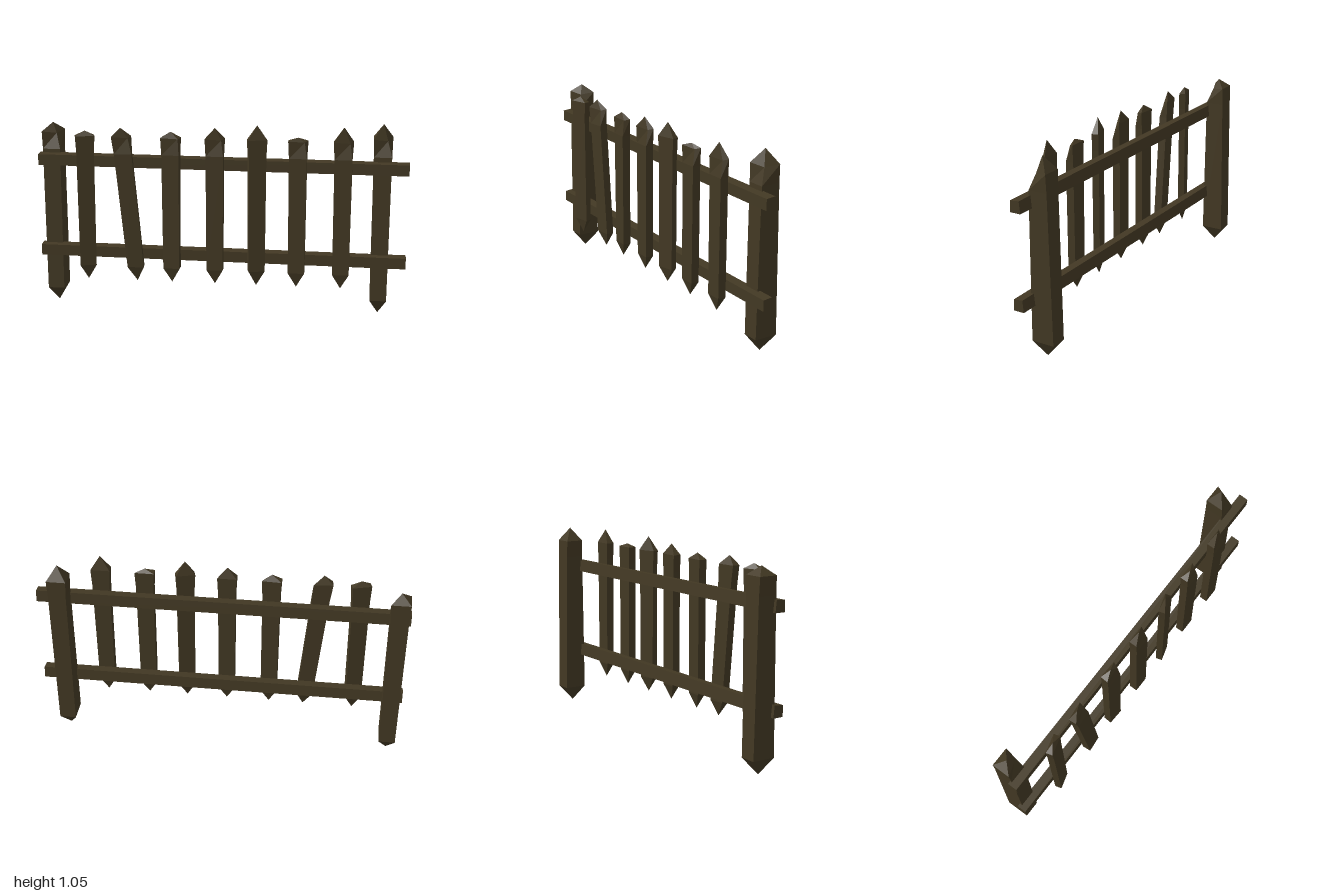
import * as THREE from 'three';

// Corners run front-left, front-right, back-right, back-left
const CORNERS = [[-1, 1], [1, 1], [1, -1], [-1, -1]];

// Flat-shaded loft through four-cornered rings; the first and last ring may be tips (one repeated point)
function loft(rings) {
  const pos = [];
  const tri = (a, b, c) => pos.push(...a, ...b, ...c);
  for (let r = 0; r < rings.length - 1; r++) {
    for (let i = 0; i < 4; i++) {
      const j = (i + 1) % 4, lo = rings[r], hi = rings[r + 1];
      if (r > 0) tri(lo[i], lo[j], hi[j]);
      if (r < rings.length - 2) tri(lo[i], hi[j], hi[i]);
      else tri(lo[i], lo[j], hi[i]);
    }
  }
  const g = new THREE.BufferGeometry();
  g.setAttribute('position', new THREE.Float32BufferAttribute(pos, 3));
  g.computeVertexNormals();
  return g;
}

// Pointed stake: [y, halfWidth, halfDepth, zOffset] for each ring, with an optional chipped front-right shoulder
function stake(bottom, top, levels, chip) {
  const rings = levels.map(([y, w, d, z = 0], k) => CORNERS.map(([sx, sz], i) => {
    const c = k === levels.length - 1 && i === 1 ? chip : 0;
    return [sx * w - c, y - c * 0.4, sz * d + z - c];
  }));
  const tip = y => CORNERS.map(() => [0, y, 0]);
  return loft([tip(bottom), ...rings, tip(top)]);
}

export function createModel() {
  const model = new THREE.Group();
  const wood = new THREE.MeshStandardMaterial({ color: 0x42382a });
  wood.name = 'darkWood';
  wood.color.set(0x423823);
  const add = (geometry, name) => {
    const mesh = new THREE.Mesh(geometry, wood);
    mesh.name = name;
    model.add(mesh);
    return mesh;
  };

  // End posts
  for (const [x, top, name] of [[-0.935, 1.02, 'rightPost'], [0.86, 1.05, 'leftPost']]) {
    const levels = [[0.085, 0.045, 0.063, -0.003], [0.88, 0.048, 0.052], [0.975, 0.052, 0.05]];
    add(stake(0, top, levels, 0.028), name).position.set(x, 0, -0.044);
  }

  // Pickets: bottom x, top x, top y, yaw, shoulder chip
  const pickets = [
    [-0.73, -0.73, 1.0, 0.28, 0],
    [-0.455, -0.535, 1.02, 0.1, 0.018],
    [-0.262, -0.262, 1.005, -0.05, 0.012],
    [-0.025, -0.025, 1.03, 0, 0.018],
    [0.2, 0.2, 1.05, 0.28, 0],
    [0.417, 0.417, 0.99, 0, 0.018],
    [0.655, 0.655, 1.05, 0, 0.018],
  ];
  pickets.forEach(([xb, xt, top, yaw, chip], i) => {
    const depth = yaw > 0.2 ? 0.018 : 0.022;
    const levels = [[0.25, 0.044, depth], [0.88, 0.047, depth], [0.972, 0.052, depth]];
    const g = stake(0.17, top, levels, chip);
    g.rotateY(yaw);
    // Lean by shearing sideways with height
    const p = g.attributes.position;
    for (let k = 0; k < p.count; k++) {
      p.setX(k, p.getX(k) + xb + (xt - xb) * (p.getY(k) - 0.17) / (top - 0.17));
    }
    g.computeVertexNormals();
    add(g, 'picket' + (i + 1)).position.z = 0.077;
  });

  // Rails, slightly tapered and sagging towards the left end
  for (const [y, name] of [[0.83, 'upperRail'], [0.32, 'lowerRail']]) {
    const g = new THREE.BoxGeometry(2, 0.064, 0.054).toNonIndexed();
    const p = g.attributes.position;
    for (let k = 0; k < p.count; k++) {
      const end = p.getX(k) > 0 ? 1 : 0, up = p.getY(k) > 0, front = p.getZ(k) > 0;
      p.setY(k, p.getY(k) - 0.006 * end + (up && front ? -0.005 : 0));
      if (!front) p.setZ(k, p.getZ(k) + (up ? 0.003 : -0.004));
    }
    g.computeVertexNormals();
    add(g, name).position.set(0, y, 0.022);
  }
  return model;
}
